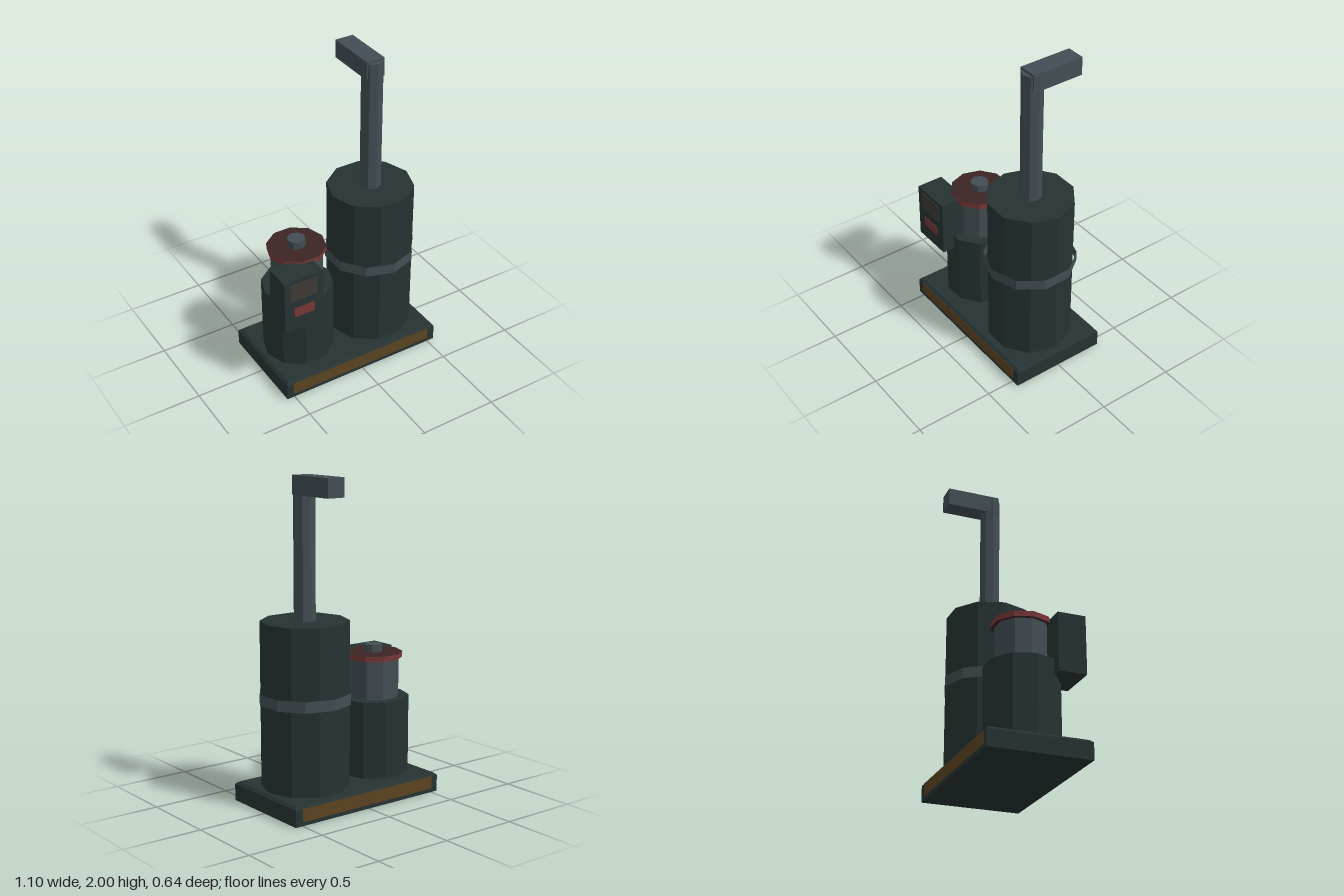
import * as THREE from 'three';

const mat = (name, color) => {
  const m = new THREE.MeshStandardMaterial({ color, flatShading: true });
  m.name = name;
  return m;
};

export function createModel() {
  const group = new THREE.Group();
  const dark = mat('dark green metal', 0x263232);
  const steel = mat('grey steel', 0x424d53);
  const red = mat('red', 0x763636);
  const darkRed = mat('dark red', 0x3d2424);
  const amber = mat('amber stripe', 0x5b4321);
  const screen = mat('dim screen', 0x3d3a35);
  const band = steel.clone();
  band.name = 'grey steel band';
  band.side = THREE.DoubleSide;

  const add = (name, geo, material, x, y, z) => {
    const m = new THREE.Mesh(geo, material);
    m.name = name;
    m.position.set(x, y, z);
    group.add(m);
    return m;
  };
  // box given by its min and max corners
  const box = (name, material, [x0, y0, z0], [x1, y1, z1]) =>
    add(name, new THREE.BoxGeometry(x1 - x0, y1 - y0, z1 - z0), material,
      (x0 + x1) / 2, (y0 + y1) / 2, (z0 + z1) / 2);
  // upright faceted cylinder with a corner on the x axis
  const drum = (name, material, x, r, y0, y1, sides) =>
    add(name, new THREE.CylinderGeometry(r, r, y1 - y0, sides, 1, false, Math.PI / 2),
      material, x, (y0 + y1) / 2, 0);

  // base slab with a chamfered top edge
  const slab = new THREE.BoxGeometry(1.1, 0.12, 0.632, 1, 2, 1);
  const p = slab.attributes.position;
  for (let i = 0; i < p.count; i++) {
    if (p.getY(i) > 0.05) p.setXYZ(i, p.getX(i) * 0.969, 0.06, p.getZ(i) * 0.946);
    else if (p.getY(i) > -0.05) p.setY(i, 0.044);
  }
  slab.computeVertexNormals();
  add('base', slab, dark, 0, 0.06, 0);
  for (const s of [1, -1])
    box(s > 0 ? 'frontStripe' : 'backStripe', amber,
      [-0.505, 0.024, s * 0.316 - 0.002], [0.5, 0.104, s * 0.316 + 0.002]);

  // large tank with its open hoop
  const tankX = 0.244, pumpX = -0.284;
  drum('largeTank', dark, tankX, 0.269, 0.12, 1.14, 10);
  add('tankBand', new THREE.CylinderGeometry(0.285, 0.285, 0.068, 10, 1, true),
    band, tankX, 0.676, 0);

  // exhaust pipe and its backward arm
  drum('pipe', steel, tankX, 0.066, 1.14, 1.985, 8);
  box('pipeArm', steel, [0.184, 1.885, -0.304], [0.304, 2, 0.036]);

  // small tank, neck, lid and knob
  drum('smallTank', dark, pumpX, 0.225, 0.12, 0.605, 10);
  drum('neck', steel, pumpX, 0.16, 0.605, 0.85, 10);
  drum('lid', [red, darkRed, darkRed], pumpX, 0.183, 0.85, 0.884, 10);
  drum('knob', steel, pumpX, 0.057, 0.884, 0.933, 8);

  // control box with screen and button plate
  box('controlBox', dark, [-0.538, 0.506, 0.12], [-0.271, 0.87, 0.293]);
  box('controlScreen', screen, [-0.5, 0.726, 0.292], [-0.314, 0.846, 0.297]);
  box('controlButton', red, [-0.474, 0.604, 0.292], [-0.335, 0.668, 0.297]);

  return group;
}
